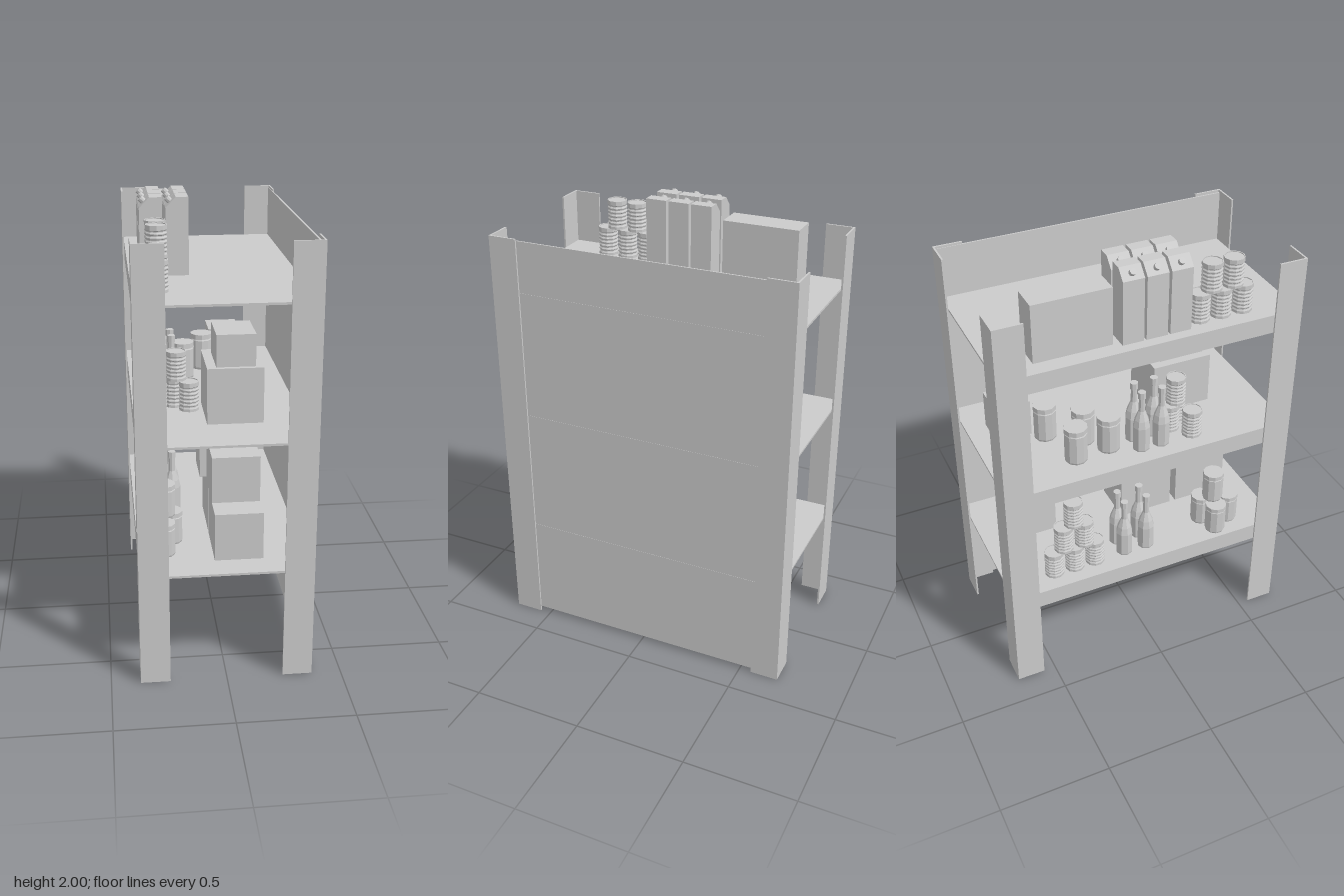
import * as THREE from 'three';

const grey = new THREE.MeshStandardMaterial({ color: 0xcccccc, flatShading: true, side: THREE.DoubleSide });

function add(parent, name, geometry, x = 0, y = 0, z = 0) {
  const mesh = new THREE.Mesh(geometry, grey);
  mesh.name = name;
  mesh.position.set(x, y, z);
  parent.add(mesh);
  return mesh;
}

// Box given by its min and max on each axis
function box(parent, name, x0, x1, y0, y1, z0, z1) {
  return add(parent, name, new THREE.BoxGeometry(x1 - x0, y1 - y0, z1 - z0),
    (x0 + x1) / 2, (y0 + y1) / 2, (z0 + z1) / 2);
}

function lathe(points, sides) {
  return new THREE.LatheGeometry(points.map(([r, y]) => new THREE.Vector2(r, y)), sides);
}

// Ribbed tin can
const CAN_H = 0.13;
function canGeometry() {
  const points = [[0, 0], [0.045, 0], [0.045, 0.012]];
  for (let i = 0; i < 6; i++) {
    const y = 0.015 + i * 0.017;
    points.push([0.041, y + 0.003], [0.041, y + 0.007], [0.045, y + 0.011], [0.045, y + 0.015]);
  }
  points.push([0.045, CAN_H], [0.041, CAN_H], [0.041, CAN_H - 0.004], [0, CAN_H - 0.004]);
  return lathe(points, 10);
}

const canGeo = canGeometry();
const jarGeo = lathe([[0, 0], [0.045, 0], [0.048, 0.008], [0.048, 0.122], [0.044, 0.128],
  [0.049, 0.128], [0.049, 0.148], [0, 0.148]], 10);
const bottleGeo = lathe([[0, 0], [0.037, 0], [0.039, 0.008], [0.039, 0.12], [0.032, 0.155],
  [0.015, 0.2], [0.014, 0.265], [0.018, 0.265], [0.018, 0.295], [0, 0.295]], 8);

// Slant-topped carton with a round cap on the slope
const CARTON_H = 0.33;
function carton(parent, x, y, z) {
  const group = new THREE.Group();
  group.name = 'carton';
  const shape = new THREE.Shape([[-0.048, 0], [0.048, 0], [0.048, CARTON_H], [-0.005, CARTON_H], [-0.048, CARTON_H - 0.045]]
    .map(([a, b]) => new THREE.Vector2(a, b)));
  add(group, 'cartonBody', new THREE.ExtrudeGeometry(shape, { depth: 0.095, bevelEnabled: false }), 0, 0, -0.0475);
  const cap = add(group, 'cartonCap', new THREE.CylinderGeometry(0.014, 0.014, 0.026, 10), -0.032, CARTON_H - 0.018, 0);
  cap.rotation.z = Math.PI / 4;
  group.position.set(x, y, z);
  parent.add(group);
}

// Angle-section upright; sx and sz point to the outer corner
function post(parent, sx, sz, x, z) {
  const w = 0.128, t = 0.008, h = 1.91;
  const shape = new THREE.Shape([[0, 0], [w, 0], [w, t], [t, t], [t, w], [0, w]]
    .map(([a, b]) => new THREE.Vector2(x - sx * a, -(z - sz * b))));
  const mesh = add(parent, 'cornerPost', new THREE.ExtrudeGeometry(shape, { depth: h, bevelEnabled: false }));
  mesh.rotation.x = -Math.PI / 2;
}

export function createModel() {
  const model = new THREE.Group();
  model.name = 'shelvingUnit';

  // Frame
  post(model, -1, 1, -0.373, 0.68);
  post(model, 1, 1, 0.372, 0.68);
  post(model, -1, -1, -0.373, -0.683);
  post(model, 1, -1, 0.365, -0.683);
  box(model, 'sidePanel', 0.354, 0.361, 0.02, 1.9, -0.672, 0.672);

  // Shelves with a hanging lip along the open side
  const [low, mid, top] = [0.505, 1.085, 1.67];
  for (const y of [low, mid, top]) {
    box(model, 'shelf', -0.363, 0.362, y - 0.01, y, -0.671, 0.671);
    box(model, 'shelfLip', -0.365, -0.357, y - 0.085, y, -0.671, 0.671);
  }

  const cans = (y, list) => list.forEach(([x, z, tier]) => add(model, 'can', canGeo, x, y + tier * CAN_H, z));
  const bottles = (y, xs, zs) => xs.forEach(x => zs.forEach(z => add(model, 'bottle', bottleGeo, x, y, z)));

  // Top shelf: stacked cans, cartons and a long box
  cans(top, [[-0.26, 0.25, 0], [-0.26, 0.35, 0], [-0.26, 0.45, 0], [-0.26, 0.3, 1], [-0.26, 0.4, 1]]);
  for (const x of [-0.27, -0.16])
    for (const z of [-0.078, 0.028, 0.135]) carton(model, x, top, z);
  box(model, 'longBox', -0.293, -0.167, top, 1.93, -0.5, -0.157);

  // Middle shelf: cans, bottles, jars and boxes
  cans(mid, [[-0.26, 0.24, 0], [-0.12, 0.23, 0], [-0.18, 0.17, 0], [-0.173, 0.2, 1]]);
  bottles(mid, [-0.265, -0.185], [-0.01, 0.085]);
  for (const [x, z] of [[-0.22, -0.3], [-0.205, -0.14], [-0.11, -0.22], [-0.01, -0.36]])
    add(model, 'jar', jarGeo, x, mid, z).scale.set(1.08, 1.17, 1.08);
  box(model, 'cubeBox', 0.03, 0.18, mid, mid + 0.175, -0.575, -0.41);
  box(model, 'largeBox', -0.06, 0.18, mid, 1.33, 0.15, 0.43);
  box(model, 'stackedBox', -0.02, 0.147, 1.33, 1.47, 0.2, 0.41);

  // Bottom shelf: can pyramid, bottles, jars and boxes
  for (let tier = 0; tier < 3; tier++)
    for (let i = 0; i < 3 - tier; i++) cans(low, [[-0.265, -0.44 + 0.1 * i + 0.05 * tier, tier]]);
  bottles(low, [-0.265, -0.185], [-0.09, 0.02]);
  for (const [x, z, tier] of [[-0.25, 0.46, 0], [-0.21, 0.34, 0], [-0.3, 0.37, 0], [-0.243, 0.38, 1]])
    add(model, 'jar', jarGeo, x, low + tier * 0.148, z);
  box(model, 'cubeBox', 0.015, 0.17, low, low + 0.17, -0.48, -0.32);
  box(model, 'largeBox', -0.04, 0.17, low, 0.72, 0.29, 0.55);
  box(model, 'stackedBox', -0.04, 0.17, 0.72, 0.93, 0.2, 0.43);
  box(model, 'rearBox', -0.04, 0.17, low, 0.74, 0.0, 0.26);
  box(model, 'rearStackedBox', -0.07, 0.13, 0.74, 0.91, 0.0, 0.19);

  return model;
}
